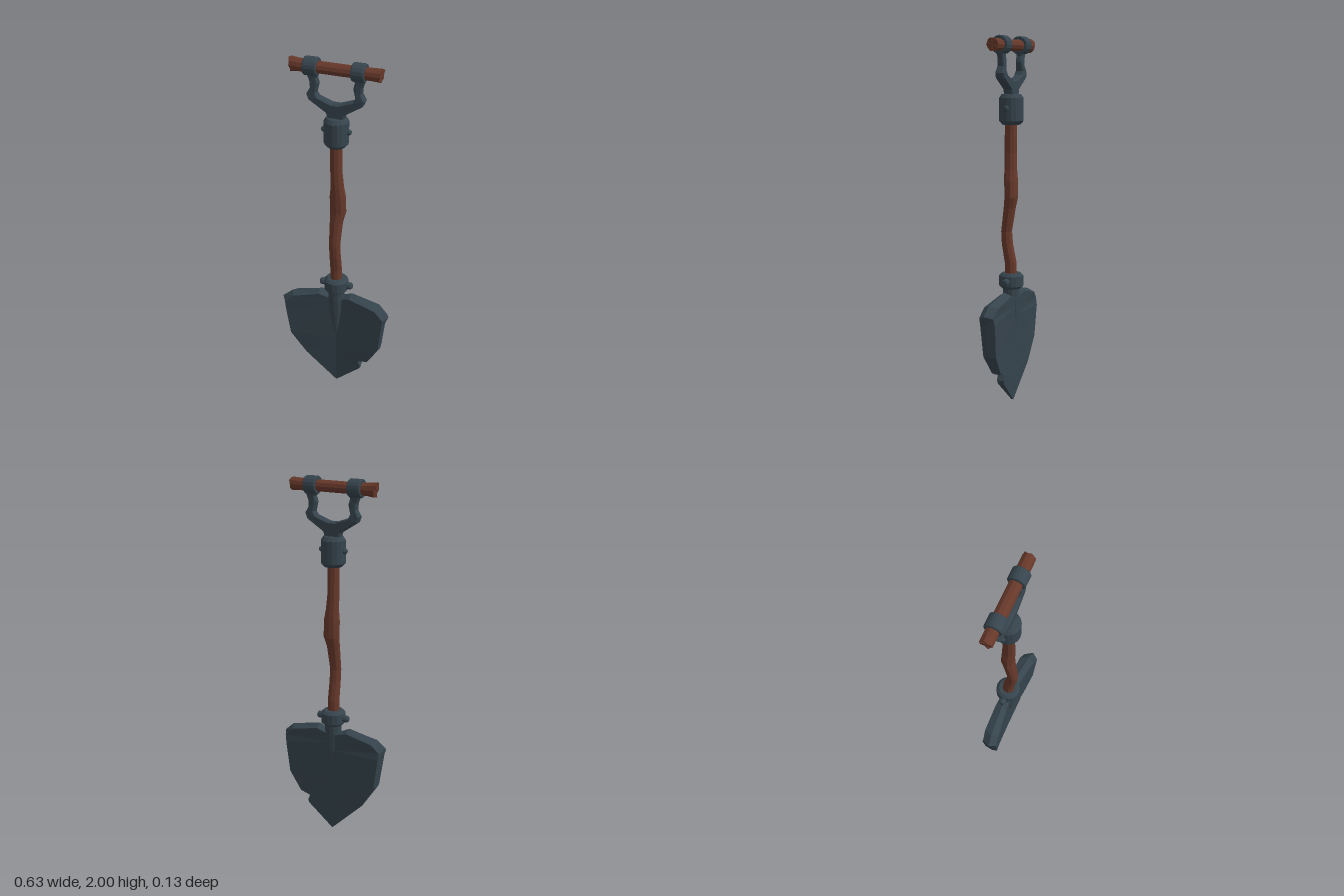
import * as THREE from 'three';

const metal = new THREE.MeshStandardMaterial({ color: 0x36444d, flatShading: true });
const wood = new THREE.MeshStandardMaterial({ color: 0x66382a, flatShading: true });

function add(parent, name, geometry, material) {
  const mesh = new THREE.Mesh(geometry, material);
  mesh.name = name;
  parent.add(mesh);
  return mesh;
}

// Tube through stations listed from top to bottom: [y, centre x, centre z, radius x, radius z]
function loft(stations, sides) {
  const n = stations.length - 1;
  const geo = new THREE.CylinderGeometry(1, 1, 1, sides, n);
  const p = geo.attributes.position;
  for (let i = 0; i < p.count; i++) {
    const [y, cx, cz, rx, rz] = stations[Math.round((0.5 - p.getY(i)) * n)];
    p.setXYZ(i, cx + p.getX(i) * rx, y, cz + p.getZ(i) * rz);
  }
  geo.computeVertexNormals();
  return geo;
}

function lathe(points, sides) {
  return new THREE.LatheGeometry(points.map(([r, y]) => new THREE.Vector2(r, y)), sides);
}

// Thick blade: front and back faces run from a central spine to a bevelled rim
function bladeGeometry() {
  // x, y, front z, back z, rim inset; counter-clockwise from the tip
  const outline = [
    [0, 0.005, 0, -0.012, 0], [0.147, 0.13, 0.016, -0.02, 0.004], [0.153, 0.15, 0.018, -0.022, 0.004],
    [0.14, 0.18, 0.02, -0.024, 0.004], [0.2, 0.2, 0.028, -0.025, 0.005], [0.27, 0.31, 0.046, -0.028, 0.006],
    [0.296, 0.49, 0.054, -0.032, 0.012], [0.316, 0.54, 0.056, -0.026, 0.028], [0.26, 0.588, 0.05, -0.034, 0.022],
    [0.09, 0.628, 0.032, -0.036, 0.02], [0.045, 0.605, 0.026, -0.036, 0.012], [-0.045, 0.6, 0.026, -0.036, 0.012],
    [-0.1, 0.625, 0.032, -0.036, 0.02], [-0.26, 0.585, 0.05, -0.034, 0.022], [-0.316, 0.54, 0.056, -0.026, 0.028],
    [-0.3, 0.49, 0.054, -0.032, 0.012], [-0.27, 0.31, 0.046, -0.028, 0.006], [-0.18, 0.175, 0.025, -0.024, 0.005],
  ];
  const rows = outline.map(([x, y, zf, zb, inset]) => {
    const k = 1 - inset / Math.max(Math.hypot(x, y - 0.35), 0.01);
    const ix = x * k, iy = 0.35 + (y - 0.35) * k;
    const sy = Math.min(y, 0.58);
    return [
      [0, sy, 0.03 * sy], [ix, iy, zf], [x, y, (zf + zb) / 2 + 0.005],
      [ix, iy, zb], [0, sy, -0.012 - 0.04 * sy],
    ];
  });
  const pos = [];
  rows.forEach((a, i) => {
    const b = rows[(i + 1) % rows.length];
    for (let j = 0; j < 4; j++) {
      pos.push(...a[j], ...a[j + 1], ...b[j + 1], ...a[j], ...b[j + 1], ...b[j]);
    }
  });
  const geo = new THREE.BufferGeometry();
  geo.setAttribute('position', new THREE.Float32BufferAttribute(pos, 3));
  geo.computeVertexNormals();
  return geo;
}

// Forked yoke, thinner towards the grip
function yokeGeometry() {
  const right = [
    [0.04, 1.68], [0.05, 1.715], [0.145, 1.775], [0.157, 1.805], [0.138, 1.84], [0.142, 1.875], [0.16, 1.92],
    [0.093, 1.92], [0.103, 1.895], [0.094, 1.865], [0.107, 1.815], [0.095, 1.795], [0.02, 1.768],
  ];
  const left = right.map(([x, y]) => [-x, y]).reverse();
  const shape = new THREE.Shape([...right, ...left].map(([x, y]) => new THREE.Vector2(x, y)));
  const geo = new THREE.ExtrudeGeometry(shape, {
    depth: 0.034, bevelEnabled: true, bevelThickness: 0.008, bevelSize: 0.006, bevelOffset: -0.006, bevelSegments: 1,
  });
  geo.translate(0, 0, -0.017);
  const p = geo.attributes.position;
  for (let i = 0; i < p.count; i++) {
    const t = THREE.MathUtils.smoothstep(p.getY(i), 1.78, 1.88);
    p.setZ(i, p.getZ(i) * (1.05 - 0.35 * t));
  }
  geo.computeVertexNormals();
  return geo;
}

// Wooden grip along x with chipped, uneven ends
function gripGeometry() {
  const geo = loft([
    [0.24, 0, 0, 0.036, 0.034], [0.2, 0, 0, 0.033, 0.035], [0.08, 0, 0, 0.031, 0.035],
    [-0.08, 0, 0, 0.031, 0.035], [-0.2, 0, 0, 0.034, 0.035], [-0.245, 0, 0, 0.04, 0.034],
  ], 10);
  geo.rotateZ(-Math.PI / 2);
  const p = geo.attributes.position;
  for (let i = 0; i < p.count; i++) {
    const x = p.getX(i), y = p.getY(i), z = p.getZ(i);
    if (Math.abs(x) > 0.22) {
      p.setX(i, x + Math.sign(x) * (y * 0.15 + 0.007 * Math.sin(y * 150 + z * 90)));
    }
  }
  geo.translate(0, 1.95, 0);
  geo.computeVertexNormals();
  return geo;
}

export function createModel() {
  const model = new THREE.Group();
  model.name = 'shovel';

  add(model, 'blade', bladeGeometry(), metal);
  add(model, 'bladeSocket', loft([
    [0.66, 0, 0, 0.046, 0.046], [0.58, 0, 0, 0.045, 0.045], [0.5, 0, 0, 0.038, 0.04],
    [0.42, 0, 0, 0.024, 0.03], [0.37, 0, 0, 0.012, 0.019], [0.34, 0, 0, 0.002, 0.01],
  ], 12), metal);

  // Crooked wooden shaft
  add(model, 'shaft', loft([
    [1.56, 0, 0.003, 0.032, 0.033], [1.38, 0.001, 0.003, 0.032, 0.034], [1.29, 0.006, 0.001, 0.036, 0.035],
    [1.23, 0.008, -0.002, 0.045, 0.036], [1.14, 0.009, -0.004, 0.044, 0.036], [1.08, 0.003, 0.008, 0.036, 0.033],
    [0.95, 0, 0.028, 0.031, 0.03], [0.88, 0.001, 0.023, 0.031, 0.031], [0.78, 0, 0.004, 0.032, 0.033],
    [0.7, 0, 0.002, 0.033, 0.033],
  ], 10), wood);

  // Collars
  add(model, 'lowerCollar', lathe([
    [0, 0.637], [0.05, 0.637], [0.067, 0.652], [0.067, 0.708], [0.052, 0.722], [0, 0.722],
  ], 16), metal);
  add(model, 'upperCollar', lathe([
    [0, 1.53], [0.048, 1.53], [0.066, 1.55], [0.066, 1.672], [0.052, 1.692], [0, 1.695],
  ], 16), metal);

  // Rivets on both sides of each collar
  for (const side of [-1, 1]) {
    for (const [y, reach, r] of [[0.68, 0.095, 0.02], [1.617, 0.081, 0.016]]) {
      const rivet = add(model, 'rivet', lathe([
        [r, 0.05], [r, reach - 0.008], [r * 0.6, reach], [0, reach],
      ], 8), metal);
      rivet.rotation.z = -side * Math.PI / 2;
      rivet.position.y = y;
    }
  }

  // Grip assembly
  add(model, 'yoke', yokeGeometry(), metal);
  add(model, 'grip', gripGeometry(), wood);
  for (const [x, width] of [[0.123, 0.07], [-0.134, 0.074]]) {
    const h = width / 2;
    const ring = add(model, 'gripRing', lathe([
      [0.03, -h], [0.045, -h], [0.049, -h + 0.005], [0.049, h - 0.005], [0.045, h], [0.03, h],
    ], 16), metal);
    ring.rotation.z = -Math.PI / 2;
    ring.position.set(x, 1.951, 0);
  }
  return model;
}
